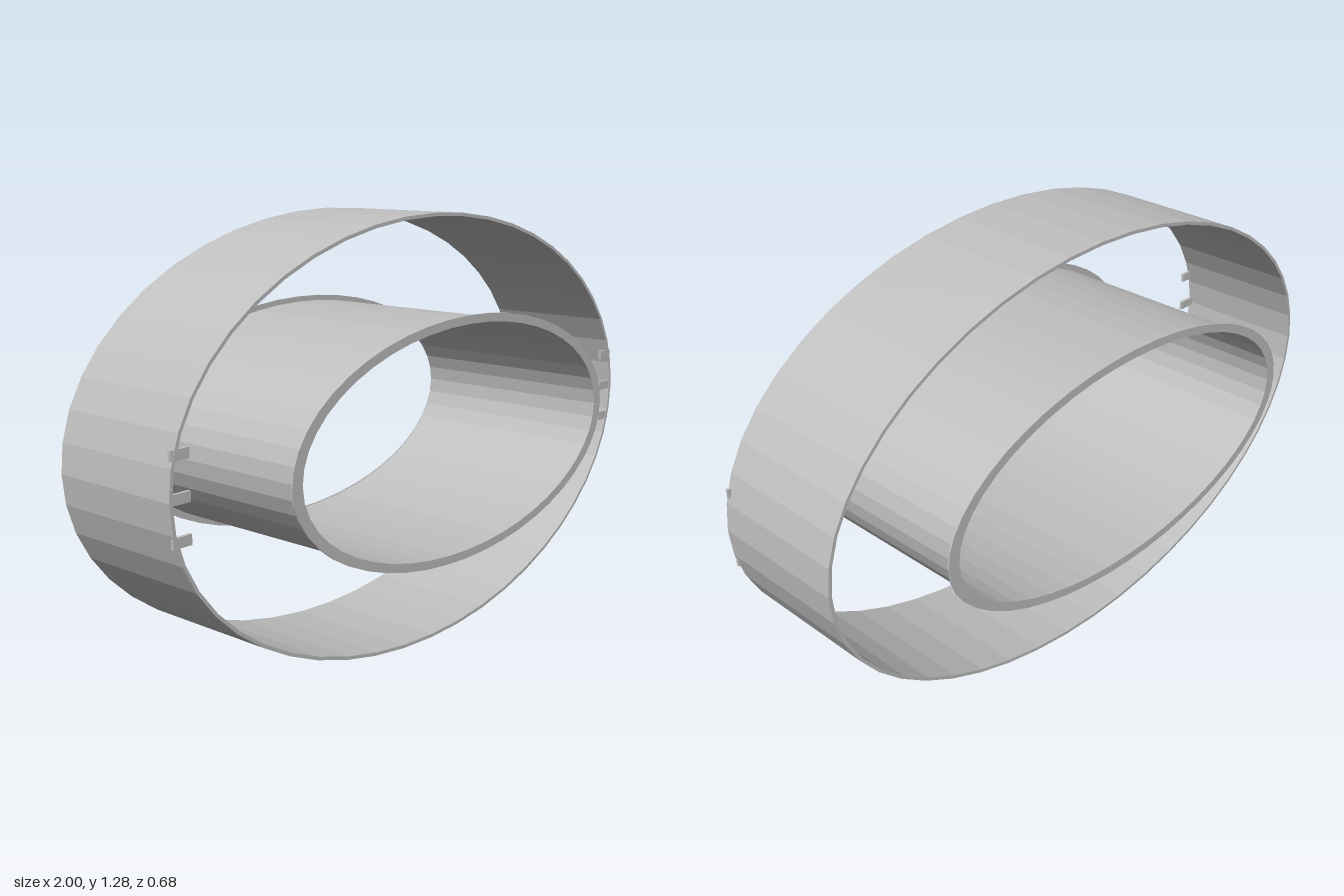
import * as THREE from 'three';

const CENTRE_Y = 0.64;
const SIDES = 48;

// Points of a faceted ellipse
function ellipse(rx, ry) {
  return Array.from({ length: SIDES }, (_, i) => {
    const a = (i / SIDES) * Math.PI * 2;
    return new THREE.Vector2(rx * Math.cos(a), ry * Math.sin(a));
  });
}

// Elliptical band between two outlines, running from z0 to z1
function band(name, outer, inner, z0, z1, material) {
  const shape = new THREE.Shape(ellipse(...outer));
  shape.holes.push(new THREE.Path(ellipse(...inner)));
  const geometry = new THREE.ExtrudeGeometry(shape, { depth: z1 - z0, bevelEnabled: false });
  geometry.translate(0, CENTRE_Y, z0);
  const mesh = new THREE.Mesh(geometry, material);
  mesh.name = name;
  return mesh;
}

export function createModel() {
  const model = new THREE.Group();
  model.name = 'ovalRings';
  const grey = new THREE.MeshStandardMaterial({ color: 0xc0c0c0 });
  grey.name = 'grey';

  // Wide outer ring and longer inner sleeve
  model.add(band('outerRing', [1, 0.638], [0.99, 0.628], -0.212, 0.212, grey));
  model.add(band('innerSleeve', [0.688, 0.342], [0.681, 0.335], -0.335, 0.335, grey));

  // Thin flanges at both ends of the sleeve
  model.add(band('frontFlange', [0.718, 0.358], [0.681, 0.333], 0.335, 0.34, grey));
  model.add(band('backFlange', [0.718, 0.358], [0.681, 0.333], -0.34, -0.335, grey));

  // Three small tabs on each side, at the front edge of the outer ring
  const tab = new THREE.BoxGeometry(0.058, 0.028, 0.01);
  for (const side of [-1, 1]) {
    for (const row of [-1, 0, 1]) {
      const mesh = new THREE.Mesh(tab, grey);
      mesh.name = side > 0 ? 'leftTab' : 'rightTab';
      mesh.position.set(side * 0.96, 0.645 + row * 0.108, 0.205);
      model.add(mesh);
    }
  }
  return model;
}
